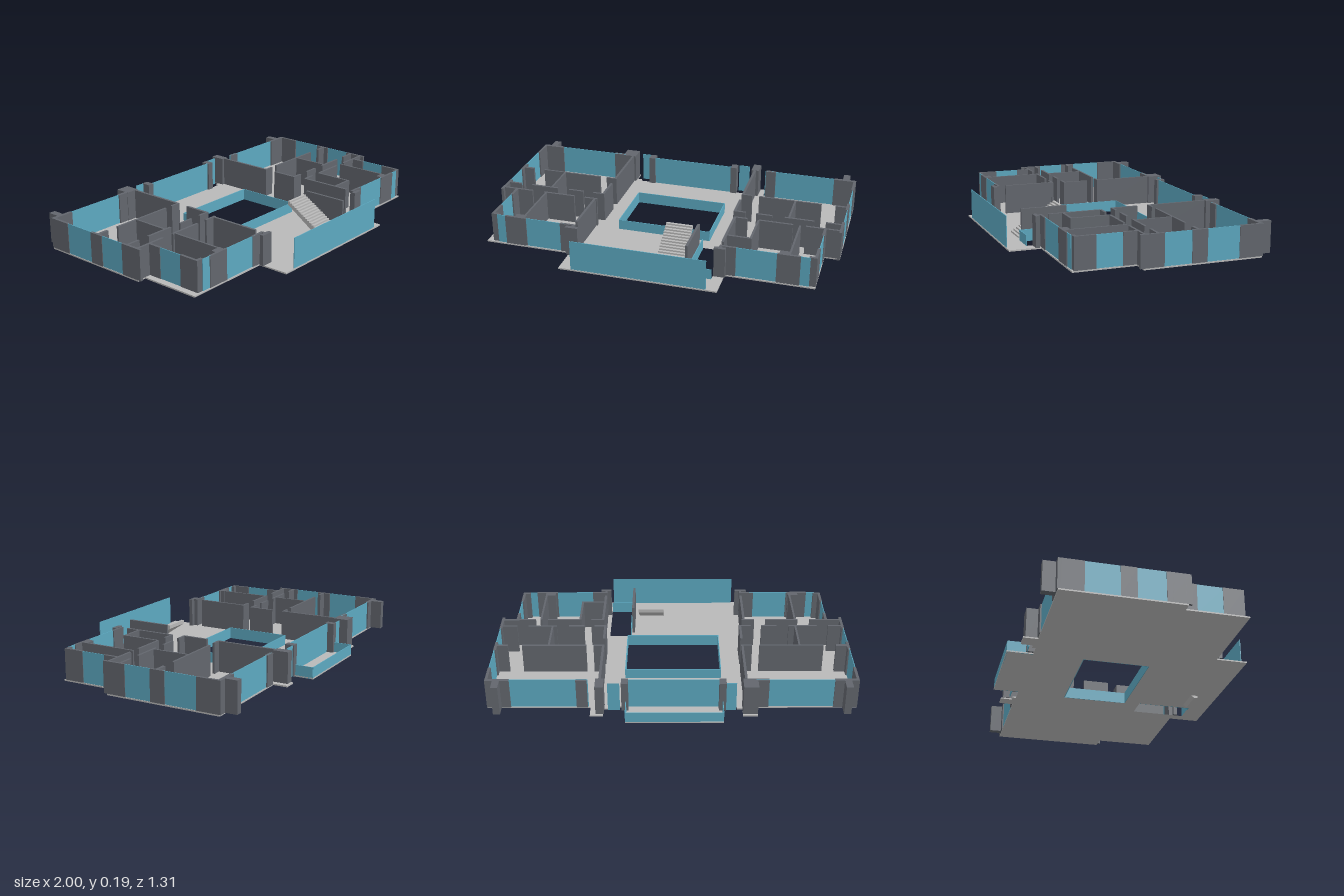
import * as THREE from 'three';

const FLOOR_BOTTOM = 0.014, FLOOR = 0.022, WALL_TOP = 0.193, RAIL_TOP = 0.08;

const mat = (name, color) => {
  const m = new THREE.MeshStandardMaterial({ color });
  m.name = name;
  return m;
};

export function createModel() {
  const model = new THREE.Group();
  model.name = 'floorPlan';
  const floorMat = mat('light grey floor', 0xb8b8b8);
  const wallMat = mat('dark grey wall', 0x62666d);
  const glassMat = mat('blue glass', 0x5ca8c0);

  const group = (name) => {
    const g = new THREE.Group();
    g.name = name;
    model.add(g);
    return g;
  };
  // Upright block covering a plan rectangle
  const block = (parent, name, material, [x0, z0, x1, z1], top = WALL_TOP, bottom = FLOOR) => {
    const m = new THREE.Mesh(new THREE.BoxGeometry(x1 - x0, top - bottom, z1 - z0), material);
    m.position.set((x0 + x1) / 2, (top + bottom) / 2, (z0 + z1) / 2);
    m.name = name;
    parent.add(m);
  };
  // Thin pane along a plan line
  const pane = (parent, name, [x0, z0, x1, z1], top, bottom) => {
    const t = 0.002, dx = x0 === x1 ? t : 0, dz = z0 === z1 ? t : 0;
    block(parent, name, glassMat, [x0 - dx, z0 - dz, x1 + dx, z1 + dz], top, bottom);
  };
  const path = (Kind, pts) => new Kind(pts.map(([x, z]) => new THREE.Vector2(x, -z)));
  const rect = (x0, z0, x1, z1) => [[x0, z0], [x1, z0], [x1, z1], [x0, z1]];

  // Floor slab with the atrium and stair openings
  const slab = path(THREE.Shape, [
    [-1, -0.52], [-0.46, -0.52], [-0.46, -0.6], [-0.38, -0.6], [-0.38, -0.535], [-0.35, -0.535],
    [-0.35, -0.515], [-0.275, -0.515], [-0.275, -0.66], [0.25, -0.66], [0.25, -0.515],
    [0.34, -0.515], [0.34, -0.535], [0.37, -0.535], [0.37, -0.6], [0.44, -0.6], [0.44, -0.52],
    [1, -0.52], [1, 0.135], [0.915, 0.135], [0.915, 0.475], [0.43, 0.475], [0.43, 0.65],
    [-0.45, 0.65], [-0.45, 0.475], [-0.95, 0.475], [-0.95, 0.135], [-1, 0.135],
  ]);
  slab.holes.push(path(THREE.Path, rect(-0.275, -0.235, 0.262, 0.137)));
  slab.holes.push(path(THREE.Path, rect(0.245, 0.225, 0.373, 0.535)));
  const slabGeo = new THREE.ExtrudeGeometry(slab, { depth: FLOOR - FLOOR_BOTTOM, bevelEnabled: false });
  slabGeo.rotateX(-Math.PI / 2).translate(0, FLOOR_BOTTOM, 0);
  const floor = new THREE.Mesh(slabGeo, floorMat);
  floor.name = 'floorSlab';
  model.add(floor);

  // Walls and piers that repeat on both sides, given for the +x side
  const outer = [
    [0.92, -0.592, 0.958, -0.515], [0.87, -0.525, 1, -0.505], [0.985, -0.51, 1, -0.39],
    [0.985, -0.21, 1, -0.125], [0.925, -0.17, 1, -0.153], [0.985, 0.025, 1, 0.155],
    [0.9, 0.135, 0.915, 0.21], [0.9, 0.35, 0.915, 0.465], [0.872, 0.447, 0.915, 0.465],
    [0.705, 0.459, 0.83, 0.473], [0.715, 0.43, 0.775, 0.465],
  ];
  const inner = [
    [0.38, -0.5, 0.394, -0.155], [0.38, -0.09, 0.394, 0.05], [0.394, -0.167, 0.442, -0.155],
    [0.483, -0.167, 0.845, -0.155], [0.689, -0.155, 0.7, 0.05],
    [0.38, 0.05, 0.45, 0.063], [0.51, 0.05, 0.6, 0.063], [0.67, 0.05, 0.835, 0.063], [0.9, 0.05, 0.99, 0.063],
    [0.4, 0.122, 0.475, 0.135], [0.54, 0.122, 0.73, 0.135], [0.8, 0.122, 0.99, 0.135],
    [0.764, 0.13, 0.775, 0.43],
  ];
  for (const side of [1, -1]) {
    const tag = side > 0 ? 'left' : 'right';
    const flip = ([a, b, c, d]) => (side > 0 ? [a, b, c, d] : [-c, b, -a, d]);
    const outside = group(tag + 'OuterWalls'), inside = group(tag + 'Partitions');
    outer.forEach((r) => block(outside, 'outerWall', wallMat, flip(r)));
    // The inner rooms on the -x side sit slightly further out
    inner.forEach(([a, b, c, d]) => {
      const s = side < 0 ? (a === 0.764 ? -0.045 : a > 0.68 && a < 0.695 ? 0.025 : 0.01) : 0;
      block(inside, 'partition', wallMat, flip([a + s, b, c + s, d]));
    });
    // Window panes of each wing
    const windows = group(tag + 'Windows');
    [
      [0.45, -0.515, 0.88, -0.515], [0.995, -0.39, 0.995, -0.2], [0.995, -0.13, 0.995, 0.03],
      [0.91, 0.2, 0.91, 0.36], [0.48, 0.467, 0.71, 0.467], [0.82, 0.467, 0.88, 0.467],
      [0.28, -0.55, 0.345, -0.55],
    ].forEach((r) => pane(windows, 'windowPane', flip(r), WALL_TOP, FLOOR));
  }

  // Walls that differ between the two sides
  const extra = group('centralWalls');
  [
    [-0.46, -0.588, -0.38, -0.502], [0.365, -0.588, 0.41, -0.502],
    [-0.52, -0.525, -0.46, -0.505], [0.455, -0.525, 0.515, -0.505],
    [-0.29, -0.555, -0.252, -0.502], [0.235, -0.555, 0.272, -0.502],
    [-0.43, 0.13, -0.416, 0.425], [-0.43, 0.459, -0.416, 0.488], [-0.503, 0.459, -0.416, 0.473],
    [-0.46, 0.483, -0.39, 0.505],
    [0.397, 0.13, 0.411, 0.425], [0.397, 0.459, 0.411, 0.488], [0.397, 0.459, 0.487, 0.473],
    [0.375, 0.483, 0.437, 0.505],
    [0.533, 0.13, 0.545, 0.35], [0.405, 0.338, 0.545, 0.351],
    [0.225, 0.267, 0.239, 0.524],
  ].forEach((r) => block(extra, 'centralWall', wallMat, r));

  // Large front and back glazing
  const glazing = group('hallGlazing');
  pane(glazing, 'frontGlass', [-0.38, 0.645, 0.37, 0.645], WALL_TOP, FLOOR);
  pane(glazing, 'backGlass', [-0.252, -0.515, 0.235, -0.515], WALL_TOP, FLOOR);

  // Low glass railings
  const rails = group('glassRailings');
  [
    [-0.275, -0.235, 0.262, -0.235], [-0.275, 0.137, 0.262, 0.137],
    [-0.275, -0.235, -0.275, 0.137], [0.262, -0.235, 0.262, 0.137],
    [-0.273, -0.657, 0.248, -0.657], [-0.273, -0.657, -0.273, -0.515], [0.248, -0.657, 0.248, -0.515],
    [0.245, 0.225, 0.245, 0.537], [0.245, 0.537, 0.373, 0.537],
  ].forEach((r) => pane(rails, 'railing', r, RAIL_TOP, FLOOR_BOTTOM));

  // Staircase climbing from the front toward the back
  const steps = 17, z0 = 0.53, run = 0.26 / steps, rise = 0.16 / steps;
  const profile = new THREE.Shape();
  profile.moveTo(z0, 0);
  for (let i = 0; i < steps; i++) {
    const y = FLOOR + rise * (i + 1);
    profile.lineTo(z0 - run * i, y);
    profile.lineTo(z0 - run * (i + 1), y);
  }
  profile.lineTo(z0 - 0.26, FLOOR + 0.14);
  profile.lineTo(z0 - 0.02, 0);
  const stairGeo = new THREE.ExtrudeGeometry(profile, { depth: 0.15, bevelEnabled: false });
  stairGeo.rotateY(-Math.PI / 2).translate(0.2, 0, 0);
  const stairs = new THREE.Mesh(stairGeo, floorMat);
  stairs.name = 'staircase';
  model.add(stairs);

  return model;
}
